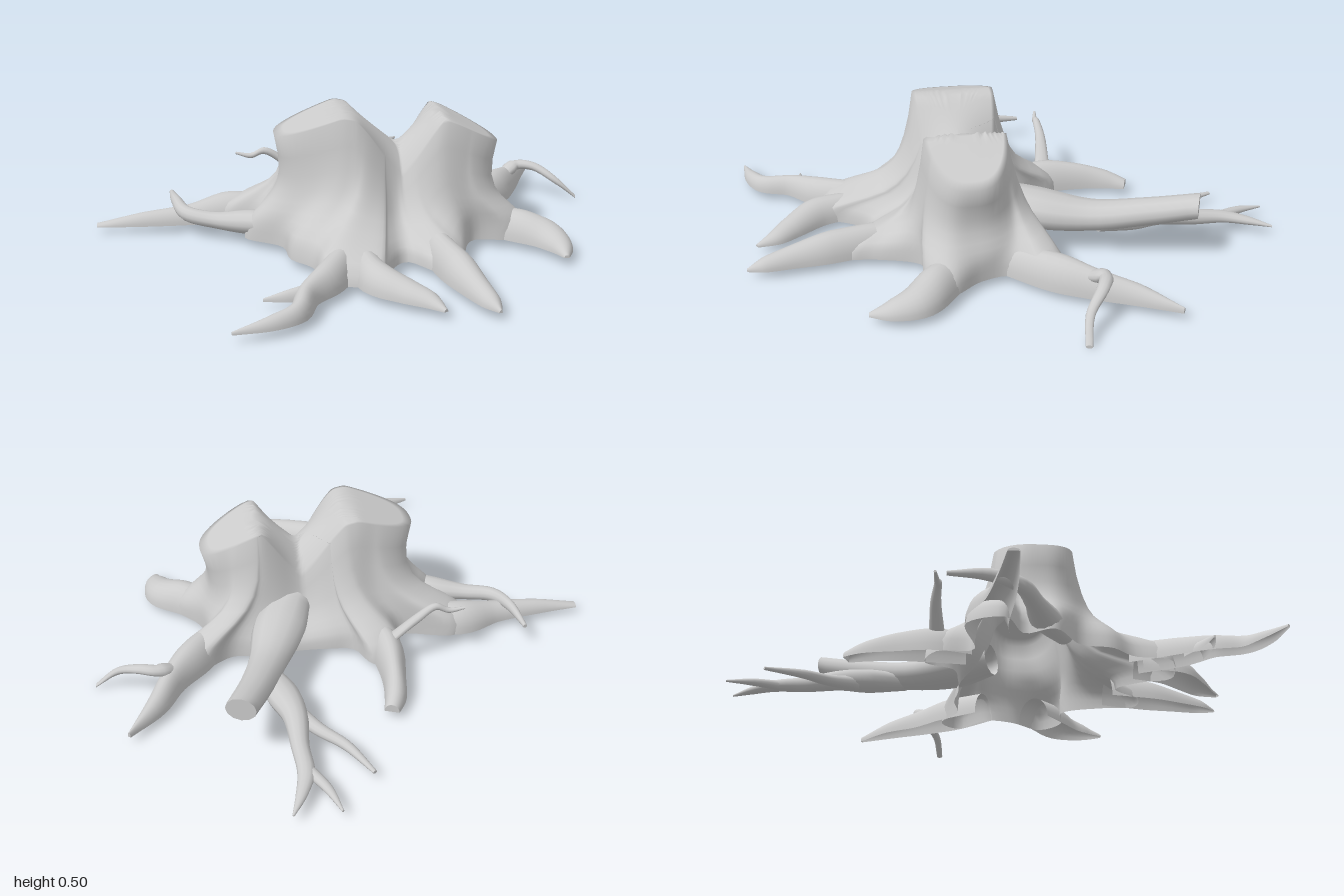
import * as THREE from 'three';

const GROUND = 0.03;
const CX = 0.11, CZ = 0.17;
const material = new THREE.MeshStandardMaterial({ color: 0xcccccc, side: THREE.DoubleSide });

// Skin a list of equally long rows of points; closed wraps every row around.
function skin(name, rows, closed) {
  const n = rows[0].length, index = [];
  for (let i = 0; i < rows.length - 1; i++) {
    for (let j = 0; j < (closed ? n : n - 1); j++) {
      const k = (j + 1) % n;
      const a = i * n + j, b = (i + 1) * n + j, c = (i + 1) * n + k, d = i * n + k;
      index.push(a, b, d, b, c, d);
    }
  }
  const g = new THREE.BufferGeometry();
  g.setAttribute('position', new THREE.Float32BufferAttribute(rows.flat(2), 3));
  g.setIndex(index);
  g.computeVertexNormals();
  const mesh = new THREE.Mesh(g, material);
  mesh.name = name;
  return mesh;
}

// Height of the two slanted cuts and the saddle between them, which falls away to front and back.
const CREST = [[-0.31, 0.42], [-0.07, 0.505], [-0.02, 0.5], [0.15, 0.365], [0.3, 0.495], [0.53, 0.37]];
function crest(x, dz) {
  const i = Math.max(1, CREST.findIndex((p) => x <= p[0]));
  const [x0, y0] = CREST[i - 1], [x1, y1] = CREST[i];
  const saddle = Math.exp(-(((x - 0.15) / 0.1) ** 2));
  return y0 + ((y1 - y0) * (x - x0)) / (x1 - x0) - 0.09 * saddle * (dz / 0.13) ** 2;
}

// Outline of the twin trunk at the cut, pinched in the middle.
function trunkOutline(angle) {
  const c = Math.cos(angle), s = Math.sin(angle);
  const r = Math.pow(Math.pow(Math.abs(c) / 0.415, 2.8) + Math.pow(Math.abs(s) / 0.16, 2.8), -1 / 2.8);
  const x = r * c;
  return [x, r * s * (1 - 0.18 * Math.exp(-(((x - 0.04) / 0.13) ** 2)))];
}

// Hollow stump: lobed foot blending up into the trunks, closed over the cuts.
function stump() {
  const foot = [
    [0.55, 0.15], [0.63, 0.27], [0.55, 0.35], [0.41, 0.34], [0.34, 0.51], [0.32, 0.62],
    [0.23, 0.62], [0.13, 0.51], [0.05, 0.6], [0.01, 0.7], [-0.08, 0.7], [-0.18, 0.66],
    [-0.2, 0.52], [-0.27, 0.43], [-0.29, 0.31], [-0.42, 0.2], [-0.37, 0.1], [-0.5, 0.02],
    [-0.44, -0.11], [-0.21, -0.07], [-0.19, -0.2], [-0.08, -0.24], [-0.02, -0.13], [0.07, -0.11],
    [0.2, -0.1], [0.32, -0.11], [0.44, -0.09], [0.57, -0.15], [0.64, -0.08], [0.53, 0.04],
  ];
  const curve = new THREE.CatmullRomCurve3(foot.map(([x, z]) => new THREE.Vector3(x, 0, z)), true);
  const ring = curve.getSpacedPoints(160).slice(0, 160).map((p) => ({
    x: p.x, z: p.z, top: trunkOutline(Math.atan2(p.z - CZ, p.x - CX)),
  }));
  // Wall profile: spread towards the foot, share of the height, waist in x, flare in z.
  const wall = [
    [1, 0, 1, 1], [0.98, 0.1, 1, 1], [0.88, 0.18, 1, 1.3], [0.7, 0.25, 1, 1.3], [0.5, 0.32, 0.98, 1.3],
    [0.32, 0.4, 0.95, 1.25], [0.2, 0.5, 0.92, 1.2], [0.11, 0.63, 0.92, 1.14], [0.05, 0.8, 0.95, 1.06], [0, 1, 1, 1],
  ];
  const rows = wall.map(([f, q, waist, flare]) => ring.map(({ x, z, top: [tx, tz] }) => [
    CX + tx * waist * (1 - f) + (x - CX) * f,
    GROUND + (crest(CX + tx, tz) - GROUND) * q,
    CZ + tz * flare * (1 - f) + (z - CZ) * f,
  ]));
  for (let k = 11; k >= 0; k--) {
    rows.push(ring.map(({ top: [tx, tz] }) => {
      const x = CX + (tx * k) / 12, dz = (tz * k) / 12;
      return [x, crest(x, dz), CZ + dz];
    }));
  }
  return skin('stump', rows, true);
}

// Sweep along points [x, y, z, half width, half height]; arched roots are open below.
function limb(name, pts, arched) {
  const path = new THREE.CatmullRomCurve3(pts.map((p) => new THREE.Vector3(p[0], p[1], p[2])));
  const size = new THREE.CatmullRomCurve3(pts.map((p) => new THREE.Vector3(p[3], p[4], 0)));
  const steps = (pts.length - 1) * 5, sides = 12, rows = [];
  const cols = arched ? sides + 1 : sides;
  const section = (t, scale) => {
    const c = path.getPoint(t), d = path.getTangent(t), s = size.getPoint(t);
    const len = Math.hypot(d.x, d.z) || 1;
    return Array.from({ length: cols }, (_, j) => {
      const a = (j / sides) * Math.PI * (arched ? 1 : 2);
      const w = s.x * scale * Math.cos(a), h = s.y * scale * Math.sin(a);
      return [c.x - (d.z / len) * w, c.y + h, c.z + (d.x / len) * w];
    });
  };
  for (let i = 0; i <= steps; i++) rows.push(section(i / steps, 1));
  // Separate end cap keeps a cut end crisp.
  rows.push(section(1, 1), section(1, 0));
  return skin(name, rows, !arched);
}

export function createModel() {
  const group = new THREE.Group();
  group.name = 'treeStump';
  group.add(stump());

  // Ground roots as [x, z, half width, height]; each starts buried in the stump.
  const roots = {
    leftRoot: [[0.49, 0.23, 0.07, 0.09], [0.59, 0.31, 0.075, 0.1], [0.67, 0.38, 0.075, 0.08], [0.7, 0.47, 0.05, 0.05], [0.7, 0.55, 0.01, 0.01]],
    frontLeftRoot: [[0.25, 0.5, 0.06, 0.1], [0.28, 0.66, 0.065, 0.095], [0.31, 0.8, 0.05, 0.065], [0.335, 0.9, 0.035, 0.04], [0.35, 0.96, 0.006, 0.01]],
    frontRoot: [[-0.03, 0.57, 0.05, 0.09], [0, 0.71, 0.065, 0.085], [0.08, 0.8, 0.055, 0.06], [0.14, 0.86, 0.04, 0.04], [0.18, 0.93, 0.008, 0.01]],
    frontRightRoot: [[-0.09, 0.54, 0.06, 0.1], [-0.17, 0.69, 0.06, 0.09], [-0.25, 0.8, 0.04, 0.07], [-0.29, 0.91, 0.035, 0.055], [-0.37, 0.96, 0.03, 0.04], [-0.5, 1.0, 0.005, 0.01]],
    frontRightSpur: [[-0.2, 0.74, 0.04, 0.05], [-0.31, 0.77, 0.02, 0.035], [-0.39, 0.77, 0.004, 0.01]],
    rightRoot: [[-0.33, -0.01, 0.06, 0.09], [-0.46, -0.04, 0.075, 0.1], [-0.62, -0.01, 0.05, 0.065], [-0.8, 0, 0.035, 0.045], [-0.97, 0, 0.02, 0.01]],
    backRightRoot: [[-0.12, -0.08, 0.05, 0.1], [-0.14, -0.2, 0.06, 0.11], [-0.13, -0.35, 0.045, 0.09], [-0.11, -0.46, 0.04, 0.06], [-0.08, -0.53, 0.028, 0.03]],
    backLeftRoot: [[0.48, 0.02, 0.06, 0.1], [0.59, -0.11, 0.07, 0.11], [0.68, -0.23, 0.05, 0.09], [0.75, -0.36, 0.04, 0.06], [0.85, -0.49, 0.006, 0.02]],
  };
  for (const [name, pts] of Object.entries(roots)) {
    group.add(limb(name, pts.map(([x, z, w, h]) => [x, GROUND, z, w, h]), true));
  }

  // Round limbs as [x, y, z, half width, half height].
  const branches = {
    cutBranch: [[0.2, 0.17, 0.03, 0.08, 0.06], [0.26, 0.15, -0.1, 0.1, 0.07], [0.33, 0.14, -0.29, 0.072, 0.055], [0.4, 0.175, -0.48, 0.06, 0.05], [0.47, 0.22, -0.65, 0.055, 0.045]],
    backRoot: [[0.36, 0.12, -0.3, 0.04, 0.03], [0.3, 0.1, -0.45, 0.06, 0.045], [0.275, 0.09, -0.56, 0.045, 0.04], [0.28, 0.07, -0.7, 0.032, 0.03], [0.28, 0.06, -0.82, 0.03, 0.022], [0.31, 0.05, -0.91, 0.02, 0.015], [0.35, 0.04, -0.99, 0.004, 0.004]],
    backRootFork: [[0.28, 0.06, -0.79, 0.022, 0.02], [0.22, 0.05, -0.9, 0.017, 0.014], [0.19, 0.04, -1.0, 0.004, 0.004]],
    backRootTwig: [[0.28, 0.08, -0.5, 0.035, 0.03], [0.2, 0.06, -0.61, 0.025, 0.022], [0.12, 0.05, -0.7, 0.019, 0.017], [0.05, 0.04, -0.84, 0.008, 0.006]],
    curledRoot: [[-0.24, 0.09, 0.26, 0.04, 0.04], [-0.39, 0.08, 0.17, 0.055, 0.045], [-0.53, 0.075, 0.115, 0.035, 0.03], [-0.63, 0.085, 0.06, 0.028, 0.028], [-0.67, 0.1, -0.05, 0.02, 0.022], [-0.69, 0.09, -0.19, 0.008, 0.008]],
    backRightTwig: [[-0.15, 0.11, -0.2, 0.03, 0.02], [-0.25, 0.2, -0.21, 0.02, 0.02], [-0.32, 0.24, -0.205, 0.014, 0.014], [-0.37, 0.22, -0.21, 0.011, 0.011], [-0.43, 0.23, -0.22, 0.005, 0.005]],
    backLeftTwig: [[0.66, 0.09, -0.2, 0.025, 0.02], [0.73, 0.12, -0.245, 0.025, 0.02], [0.8, 0.12, -0.22, 0.022, 0.017], [0.88, 0.075, -0.16, 0.016, 0.015], [0.96, 0.008, -0.14, 0.012, 0.006]],
  };
  for (const [name, pts] of Object.entries(branches)) group.add(limb(name, pts, false));

  return group;
}
